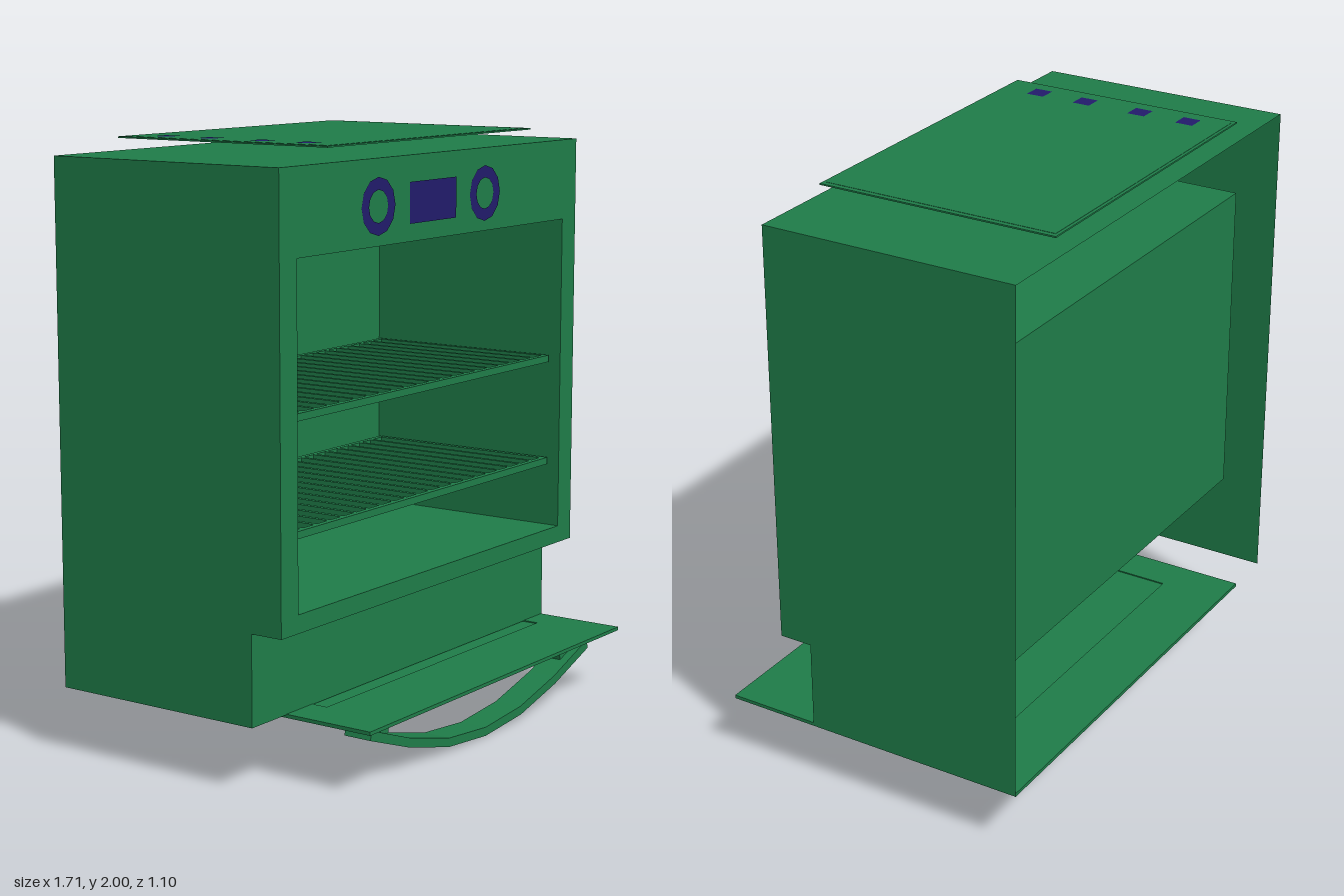
import * as THREE from 'three';

const green = new THREE.MeshStandardMaterial({ color: 0x1f7d49, side: THREE.DoubleSide, flatShading: true });
const blue = new THREE.MeshStandardMaterial({ color: 0x221b6b, side: THREE.DoubleSide, flatShading: true });

function add(parent, name, geometry, material = green) {
  const mesh = new THREE.Mesh(geometry, material);
  mesh.name = name;
  parent.add(mesh);
  return mesh;
}

// Box given by its limits on each axis
function box(parent, name, [x0, x1], [y0, y1], [z0, z1]) {
  const mesh = add(parent, name, new THREE.BoxGeometry(x1 - x0, y1 - y0, z1 - z0));
  mesh.position.set((x0 + x1) / 2, (y0 + y1) / 2, (z0 + z1) / 2);
  return mesh;
}

// Thin upright sheet facing z
function wall(parent, name, x0, x1, y0, y1, z, material) {
  const mesh = add(parent, name, new THREE.PlaneGeometry(x1 - x0, y1 - y0), material);
  mesh.position.set((x0 + x1) / 2, (y0 + y1) / 2, z);
}

// Thin level sheet facing up
function deck(parent, name, x0, x1, z0, z1, y, material) {
  const mesh = add(parent, name, new THREE.PlaneGeometry(x1 - x0, z1 - z0), material);
  mesh.rotation.x = -Math.PI / 2;
  mesh.position.set((x0 + x1) / 2, y, (z0 + z1) / 2);
}

const rect = (Type, x0, y0, x1, y1) => new Type(
  [[x0, y0], [x1, y0], [x1, y1], [x0, y1]].map(p => new THREE.Vector2(...p)));

// Level frame with a rectangular opening, rising from y by h
function frame(parent, name, outer, inner, y, h) {
  const shape = rect(THREE.Shape, ...outer);
  shape.holes.push(rect(THREE.Path, ...inner));
  const geometry = new THREE.ExtrudeGeometry(shape, { depth: h, bevelEnabled: false });
  geometry.rotateX(Math.PI / 2); // shape y becomes z
  add(parent, name, geometry).position.y = y + h;
}

function createBody() {
  const body = new THREE.Group();
  body.name = 'body';
  const W = 0.857, back = -0.545, front = 0.343, lowFront = 0.228;

  // Stepped side panels
  const side = new THREE.Shape([[-back, 0.22], [-back, 1.95], [-front, 1.95], [-front, 0.52],
    [-lowFront, 0.52], [-lowFront, 0.22]].map(p => new THREE.Vector2(...p)));
  for (const s of [-1, 1]) {
    const panel = add(body, s > 0 ? 'leftPanel' : 'rightPanel', new THREE.ShapeGeometry(side));
    panel.rotation.y = Math.PI / 2;
    panel.position.x = s * W;
  }
  deck(body, 'topPanel', -W, W, back, front, 1.95);
  deck(body, 'stepUnderside', -W, W, lowFront, front, 0.52);
  wall(body, 'lowerFront', -W, W, 0.22, 0.52, lowFront);

  // Front panel around the oven opening
  const face = rect(THREE.Shape, -W, 0.52, W, 1.95);
  face.holes.push(rect(THREE.Path, -0.77, 0.58, 0.77, 1.675));
  add(body, 'frontPanel', new THREE.ShapeGeometry(face)).position.z = front;

  // Oven cavity
  const cavityBack = -0.435;
  wall(body, 'cavityBack', -0.77, 0.77, 0.58, 1.675, cavityBack);
  deck(body, 'cavityFloor', -0.77, 0.77, cavityBack, front, 0.58);
  deck(body, 'cavityCeiling', -0.77, 0.77, cavityBack, front, 1.675);
  for (const s of [-1, 1]) {
    const cheek = add(body, 'cavitySide', new THREE.PlaneGeometry(front - cavityBack, 1.095));
    cheek.rotation.y = Math.PI / 2;
    cheek.position.set(s * 0.77, 1.1275, (front + cavityBack) / 2);
  }

  // Dials and display
  for (const x of [-0.35, 0.263]) {
    add(body, 'dial', new THREE.RingGeometry(0.052, 0.092, 12), blue).position.set(x, 1.8, front + 0.003);
  }
  wall(body, 'display', -0.178, 0.09, 1.732, 1.865, front + 0.003, blue);
  return body;
}

// Wire shelf: rim and bars running front to back
function createRack(y) {
  const rack = new THREE.Group();
  rack.name = 'rack';
  frame(rack, 'rackRim', [-0.755, -0.42, 0.755, 0.305], [-0.735, -0.4, 0.735, 0.285], y - 0.012, 0.024);
  const count = 20;
  for (let i = 1; i <= count; i++) {
    const x = -0.745 + 1.49 * i / (count + 1);
    box(rack, 'rackBar', [x - 0.008, x + 0.008], [y - 0.004, y + 0.012], [-0.41, 0.295]);
  }
  return rack;
}

// Lowered door with window and curved handle
function createDoor() {
  const door = new THREE.Group();
  door.name = 'door';
  frame(door, 'doorFrame', [-0.682, -0.545, 0.855, 0.55], [-0.545, -0.32, 0.735, 0.285], 0.21, 0.012);
  box(door, 'doorWindow', [-0.545, 0.735], [0.211, 0.218], [-0.32, 0.285]);

  // Curved bar, thickened across its path
  const path = [[-0.667, 0.17], [-0.445, 0.09], [-0.222, 0.034], [0, 0.015], [0.222, 0.034], [0.445, 0.09], [0.667, 0.17]];
  const edge = d => path.map(([x, y]) => new THREE.Vector2(x + d * x * 0.5, y - d));
  const outline = new THREE.Shape([...edge(0.015), ...edge(-0.015).reverse()]);
  const bar = add(door, 'handleBar', new THREE.ExtrudeGeometry(outline, { depth: 0.1, bevelEnabled: false }));
  bar.position.set(0.09, 0, 0.38);

  // Slanted posts
  for (const s of [-1, 1]) {
    const post = new THREE.Shape([[0.515, 0.212], [0.565, 0.212], [0.585, 0.14], [0.535, 0.12]]
      .map(([x, y]) => new THREE.Vector2(s * x, y)));
    const mesh = add(door, 'handlePost', new THREE.ExtrudeGeometry(post, { depth: 0.04, bevelEnabled: false }));
    mesh.position.set(0.09, 0, 0.41);
  }
  return door;
}

// Raised cooktop with touch controls
function createCooktop() {
  const top = new THREE.Group();
  top.name = 'cooktop';
  frame(top, 'cooktopRim', [-0.585, -0.515, 0.585, 0.322], [-0.565, -0.502, 0.565, 0.307], 1.993, 0.005);
  box(top, 'cooktopPlate', [-0.567, 0.567], [1.993, 1.999], [-0.504, 0.309]);
  for (const z of [-0.378, -0.2, 0.008, 0.185]) {
    deck(top, 'touchControl', -0.533, -0.471, z - 0.031, z + 0.031, 2.0, blue);
  }
  return top;
}

export function createModel() {
  const model = new THREE.Group();
  model.name = 'oven';
  model.add(createBody(), createRack(1.182), createRack(0.815), createDoor(), createCooktop());
  return model;
}
